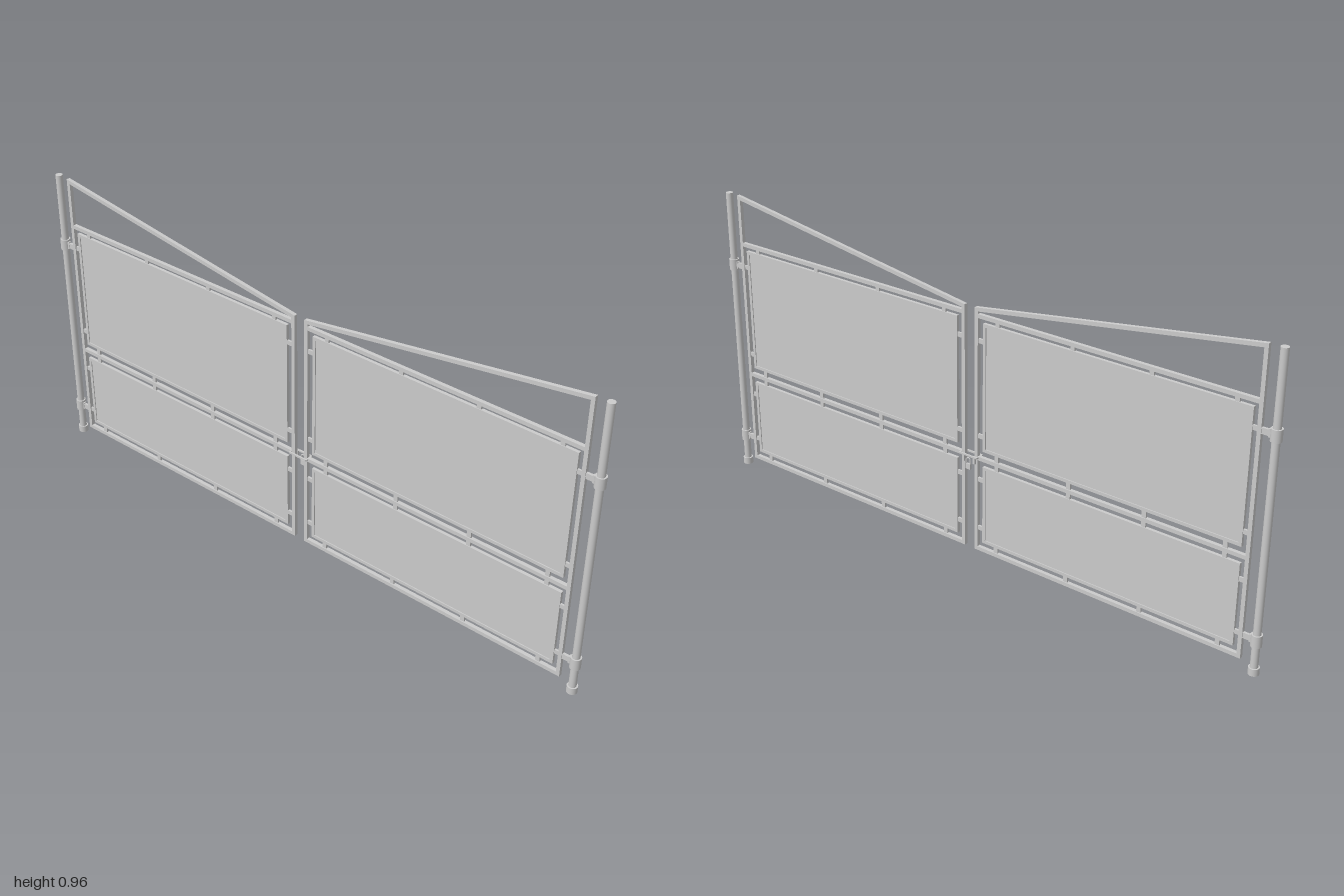
import * as THREE from 'three';

const steel = new THREE.MeshStandardMaterial({ color: 0xcccccc });
const TUBE = 0.012;

function add(parent, name, geometry, x = 0, y = 0, z = 0) {
  const mesh = new THREE.Mesh(geometry, steel);
  mesh.name = name;
  mesh.position.set(x, y, z);
  parent.add(mesh);
  return mesh;
}

const box = (parent, name, size, x, y, z) =>
  add(parent, name, new THREE.BoxGeometry(...size), x, y, z);

const cylinder = (parent, name, radius, y0, y1, z) =>
  add(parent, name, new THREE.CylinderGeometry(radius, radius, y1 - y0, 24), 0, (y0 + y1) / 2, z);

const points = (list) => list.map(([z, y]) => new THREE.Vector2(z, y));
const rect = (z0, z1, y0, y1) => [[z0, y0], [z1, y0], [z1, y1], [z0, y1]];

// Flat outline in the (z, y) plane with openings, centred on x = 0
function plate(parent, name, outline, holes, depth) {
  const shape = new THREE.Shape(points(outline));
  for (const hole of holes) shape.holes.push(new THREE.Path(points(hole)));
  const geometry = new THREE.ExtrudeGeometry(shape, { depth, bevelEnabled: false });
  geometry.translate(0, 0, -depth / 2).rotateY(-Math.PI / 2);
  return add(parent, name, geometry);
}

function createLeaf() {
  const leaf = new THREE.Group();
  const zIn = 0.018, zOut = 0.943;
  const yBottom = 0.033, yRail = 0.807, yMid = 0.347;
  const slope = (0.962 - 0.825) / (zOut - zIn);
  const topAt = (z) => 0.825 + slope * (z - zIn);
  const a = zIn + TUBE, b = zOut - TUBE;

  // Tubular frame: two uprights, three rails and the sloping top bar
  plate(leaf, 'leafFrame',
    [[zIn, yBottom], [zOut, yBottom], [zOut, topAt(zOut)], [zIn, topAt(zIn)]],
    [
      rect(a, b, yBottom + TUBE, yMid - TUBE / 2),
      rect(a, b, yMid + TUBE / 2, yRail - TUBE),
      [[a, yRail], [b, yRail], [b, topAt(b) - TUBE], [a, topAt(a) - TUBE]],
    ], TUBE);

  // Sheet panels with a raised border, held off the frame by small tabs
  const p0 = 0.048, p1 = 0.917, edge = 0.01;
  const panels = [
    { name: 'lower', y0: 0.064, y1: 0.323, below: yBottom + TUBE, above: yMid - TUBE / 2, tabs: [0.11, 0.275] },
    { name: 'upper', y0: 0.374, y1: 0.782, below: yMid + TUBE / 2, above: yRail - TUBE, tabs: [0.42, 0.724] },
  ];
  for (const { name, y0, y1, below, above, tabs } of panels) {
    plate(leaf, name + 'PanelBorder', rect(p0, p1, y0, y1),
      [rect(p0 + edge, p1 - edge, y0 + edge, y1 - edge)], 0.01);
    box(leaf, name + 'Panel', [0.004, y1 - y0 - edge, p1 - p0 - edge], 0, (y0 + y1) / 2, (p0 + p1) / 2);
    for (const z of [0.098, 0.357, 0.612, 0.868]) {
      box(leaf, name + 'Tab', [0.006, y0 - below, 0.014], 0, (y0 + below) / 2, z);
      box(leaf, name + 'Tab', [0.006, above - y1, 0.014], 0, (y1 + above) / 2, z);
    }
    for (const y of tabs) {
      box(leaf, name + 'Tab', [0.006, 0.014, p0 - a], 0, y, (p0 + a) / 2);
      box(leaf, name + 'Tab', [0.006, 0.014, b - p1], 0, y, (p1 + b) / 2);
    }
  }

  // Post with foot, hinge collars and hinge arms
  const zPost = 0.984;
  cylinder(leaf, 'post', 0.0115, 0.01, 0.963, zPost);
  add(leaf, 'postFoot', new THREE.LatheGeometry(
    points([[0, 0], [0.016, 0], [0.016, 0.019], [0.0135, 0.024], [0, 0.024]]), 24), 0, 0, zPost)
    .geometry = new THREE.CylinderGeometry(0.016, 0.016, 0.022, 24).translate(0, 0.011, 0);
  for (const [y0, y1] of [[0.09, 0.127], [0.705, 0.741]]) {
    const y = (y0 + y1) / 2;
    cylinder(leaf, 'hingeCollar', 0.016, y0, y1, zPost);
    box(leaf, 'hingeArm', [0.008, 0.018, 0.032], 0, y, 0.957);
    box(leaf, 'hingeLug', [0.01, 0.024, 0.006], 0, y, 0.966);
  }
  return leaf;
}

function createLatch() {
  const latch = new THREE.Group();
  // Loop that drops over both meeting uprights
  const y = 0.35, hx = 0.013, hz = 0.032, r = 0.0025;
  for (const s of [-1, 1]) {
    box(latch, 'latchLoopSide', [2 * r, 2 * r, 2 * hz], s * hx, y, 0);
    box(latch, 'latchLoopEnd', [2 * hx, 2 * r, 2 * r], 0, y, s * hz);
    box(latch, 'latchLug', [0.006, 0.024, 0.008], 0.009, 0.338, s * 0.02);
  }
  // Padlock hanging on one side
  box(latch, 'lockBody', [0.006, 0.018, 0.018], 0.012, 0.314, 0);
  const shackle = add(latch, 'lockShackle',
    new THREE.TorusGeometry(0.007, 0.0018, 8, 16, Math.PI), 0.012, 0.335, 0);
  shackle.rotation.y = Math.PI / 2;
  for (const s of [-1, 1]) {
    box(latch, 'shackleLeg', [0.0036, 0.014, 0.0036], 0.012, 0.329, s * 0.007);
  }
  return latch;
}

export function createModel() {
  const gate = new THREE.Group();
  gate.name = 'doubleGate';

  const leftLeaf = createLeaf();
  leftLeaf.name = 'frontLeaf';
  const rightLeaf = createLeaf();
  rightLeaf.name = 'backLeaf';
  rightLeaf.rotation.y = Math.PI;

  const latch = createLatch();
  latch.name = 'latch';

  gate.add(leftLeaf, rightLeaf, latch);
  return gate;
}
